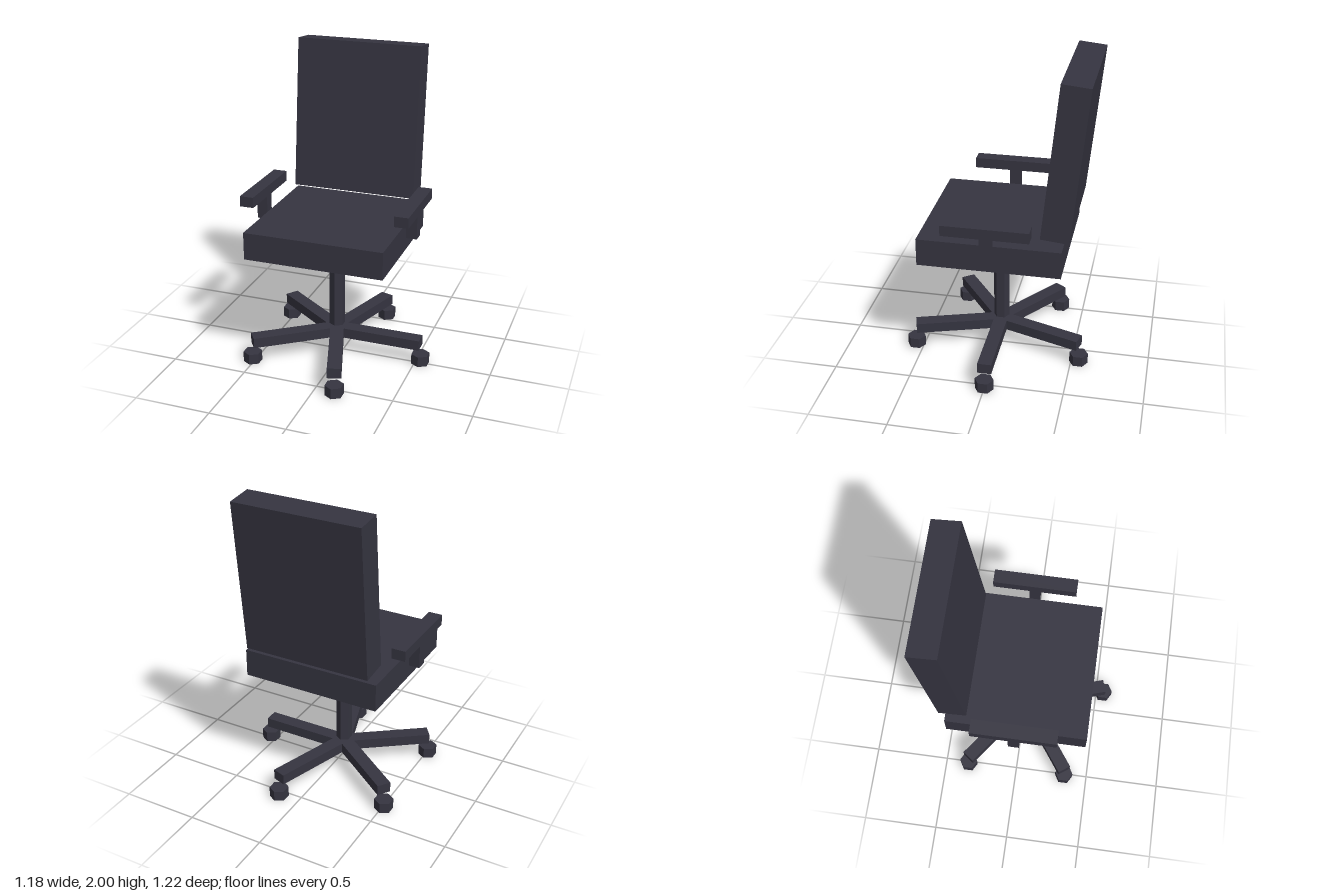
import * as THREE from 'three';

export function createModel() {
  const model = new THREE.Group();
  model.name = 'officeChair';
  const charcoal = new THREE.MeshStandardMaterial({ color: 0x353440, flatShading: true });
  charcoal.name = 'charcoal';

  const add = (name, geometry, x, y, z, parent = model) => {
    const mesh = new THREE.Mesh(geometry, charcoal);
    mesh.name = name;
    mesh.position.set(x, y, z);
    parent.add(mesh);
    return mesh;
  };
  const box = (w, h, d) => new THREE.BoxGeometry(w, h, d);
  const hexPrism = (r, h) => new THREE.CylinderGeometry(r, r, h, 6);

  const cx = -0.043; // column axis

  // Seat and reclined backrest
  add('seat', box(0.9, 0.178, 0.9), cx, 0.868, 0);
  const back = add('backrest', box(0.828, 0.988, 0.178), cx, 1.5, -0.45);
  back.rotation.x = -0.1;

  // Armrests
  for (const [side, label] of [[1, 'left'], [-1, 'right']]) {
    const x = cx + side * 0.505;
    add(label + 'ArmPad', box(0.09, 0.068, 0.54), x, 1.087, 0);
    add(label + 'ArmSupport', box(0.07, 0.165, 0.07), x, 0.971, 0);
  }

  // Column
  add('column', hexPrism(0.052, 0.585), cx, 0.4875, 0);

  // Five-spoke base with casters
  for (let i = 0; i < 5; i++) {
    const a = (i / 5) * Math.PI * 2;
    const spoke = new THREE.Group();
    spoke.name = 'spoke' + (i + 1);
    spoke.position.x = cx;
    spoke.rotation.y = -a;
    model.add(spoke);
    add('baseLeg', box(0.577, 0.068, 0.09), 0.2885, 0.147, 0, spoke);
    add('caster' + (i + 1), hexPrism(0.061, 0.07), cx + 0.578 * Math.cos(a), 0.035, 0.578 * Math.sin(a));
  }

  return model;
}
